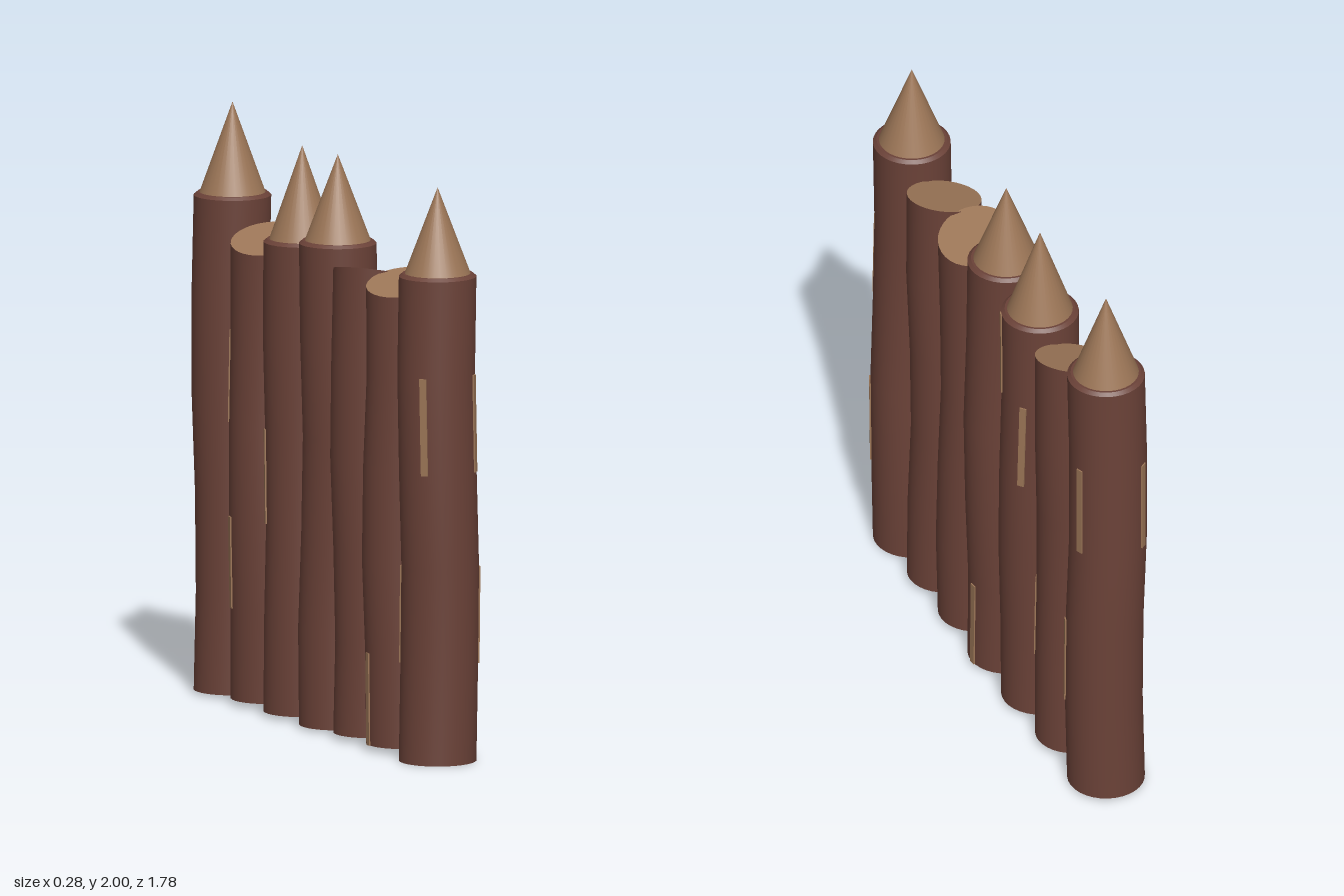
import * as THREE from 'three';
import { toCreasedNormals } from 'three/addons/utils/BufferGeometryUtils.js';

const SEGMENTS = 5;
const bark = new THREE.MeshStandardMaterial({ color: 0x6b4238 });
const wood = new THREE.MeshStandardMaterial({ color: 0x9c7657 });
const scar = new THREE.MeshStandardMaterial({ color: 0x9c7657 });

// z: place in the row, base/top: heights, tip: height of the point, or
// cut: [x slope, z slope] of a slanted end. scars: [bark segment, angle from front].
const LOGS = [
  { z: 0.75, r: 0.13, base: 0, top: 1.64, tip: 1.94, phase: 3.4,
    scars: [[4, 47], [2, 66], [4, 313], [2, 233]] },
  { z: 0.5, r: 0.125, base: 0.02, top: 1.58, cut: [0.2, -0.16], phase: 1.2, scars: [[1, 265]] },
  { z: 0.26, r: 0.125, base: 0.02, top: 1.577, cut: [-0.22, 0.18], phase: 0.4, scars: [[2, 29], [4, 218]] },
  { z: 0.02, r: 0.13, base: 0.01, top: 1.64, tip: 1.94, phase: 2.6, scars: [[1, 95], [4, 32]] },
  { z: -0.24, r: 0.13, base: 0.015, top: 1.605, tip: 1.93, phase: 5.8,
    scars: [[5, 72], [4, 128], [3, 249]] },
  { z: -0.49, r: 0.125, base: 0.02, top: 1.575, cut: [0.22, -0.2], phase: 4.4,
    scars: [[2, 56], [4, 233], [2, 257]] },
  { z: -0.75, r: 0.13, base: 0.01, top: 1.685, tip: 2.0, phase: 0.2,
    scars: [[4, 108], [2, 70], [4, 218]] },
];

// Sideways drift of a log's axis at height fraction t, none at the ends
function drift(log, t) {
  const fade = Math.sin(Math.PI * t);
  return [0.012 * fade * Math.sin(5 * t + log.phase * 2), 0.01 * fade * Math.cos(5 * t + log.phase)];
}

function add(group, name, geometry, material) {
  const mesh = new THREE.Mesh(geometry, material);
  mesh.name = name;
  group.add(mesh);
  return mesh;
}

// Round trunk, bent along its axis, with an optional slanted end
function trunkGeometry(log) {
  const h = log.top - log.base;
  const geo = new THREE.CylinderGeometry(log.r, log.r, h, 32, SEGMENTS);
  const p = geo.attributes.position;
  for (let i = 0; i < p.count; i++) {
    const x = p.getX(i), z = p.getZ(i);
    const t = p.getY(i) / h + 0.5;
    const [dx, dz] = drift(log, t);
    const slant = log.cut && t > 0.999 ? log.cut[0] * x + log.cut[1] * z : 0;
    p.setXYZ(i, x + dx, log.base + t * h + slant, z + dz);
  }
  return toCreasedNormals(geo, 0.7);
}

// Thin strip of bare wood lying on one bark segment
function scarGeometry(log, segment, degrees) {
  const h = log.top - log.base;
  const angle = THREE.MathUtils.degToRad(degrees);
  const geo = new THREE.BoxGeometry(0.024, 1, 0.014);
  geo.translate(0, 0, log.r - 0.003);
  geo.rotateY(angle);
  const p = geo.attributes.position;
  for (let i = 0; i < p.count; i++) {
    const t = (segment - 0.5 + p.getY(i)) / SEGMENTS;
    const [dx, dz] = drift(log, t);
    p.setXYZ(i, p.getX(i) + dx, log.base + t * h, p.getZ(i) + dz);
  }
  geo.computeVertexNormals();
  return geo;
}

export function createModel() {
  const model = new THREE.Group();
  model.name = 'palisadeWall';
  LOGS.forEach((log, n) => {
    const group = new THREE.Group();
    group.name = `log${n + 1}`;
    group.position.z = log.z;
    model.add(group);

    add(group, 'trunk', trunkGeometry(log), [bark, log.cut ? wood : bark, bark]);

    if (log.tip) {
      // Bevelled rim and sharpened point
      const rim = new THREE.CylinderGeometry(log.r - 0.012, log.r, 0.01, 32);
      add(group, 'rim', rim, bark).position.y = log.top + 0.005;
      const height = log.tip - log.top - 0.01;
      const point = new THREE.ConeGeometry(0.11, height, 32, 1, true);
      add(group, 'point', point, wood).position.y = log.tip - height / 2;
    }
    for (const [segment, degrees] of log.scars) {
      add(group, 'barkScar', scarGeometry(log, segment, degrees), scar);
    }
  });
  return model;
}
